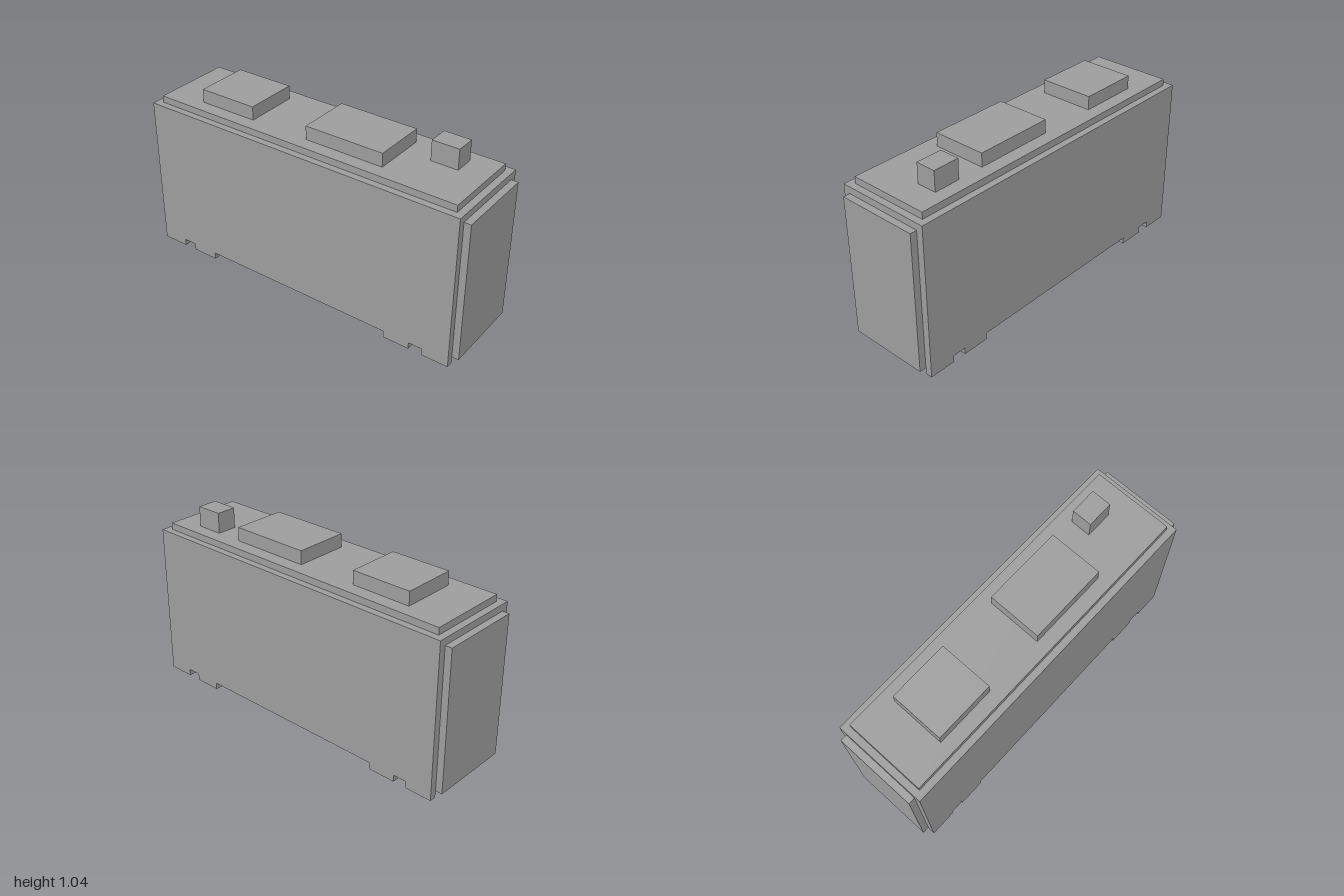
import * as THREE from 'three';

// The model sits on a grid of 52 units along its length.
const U = 2 / 52;

export function createModel() {
  const model = new THREE.Group();
  model.name = 'containerUnit';
  const material = new THREE.MeshStandardMaterial({ color: 0x9d9d9d, flatShading: true });

  // Box between two corners given in grid units.
  function block(name, [x0, x1], [y0, y1], [z0, z1]) {
    const geometry = new THREE.BoxGeometry((x1 - x0) * U, (y1 - y0) * U, (z1 - z0) * U);
    const mesh = new THREE.Mesh(geometry, material);
    mesh.name = name;
    mesh.position.set((x0 + x1) / 2 * U, (y0 + y1) / 2 * U, (z0 + z1) / 2 * U);
    model.add(mesh);
  }

  // Main body and raised roof panel
  block('body', [-25, 25], [1, 23], [-7, 7]);
  block('roofPanel', [-24, 24], [23, 24], [-6, 6]);

  // End panels
  block('leftEndPanel', [25, 26], [1, 22], [-6, 6]);
  block('rightEndPanel', [-26, -25], [1, 22], [-6, 6]);

  // Rooftop units
  block('smallRoofUnit', [-18, -9], [24, 26], [-4, 4]);
  block('largeRoofUnit', [0, 12], [24, 26], [-4, 4]);
  block('chimney', [16, 20], [24, 27], [-4, -1]);

  // Pairs of feet under each corner
  for (const z of [[6, 7], [-7, -6]]) {
    for (const [a, b] of [[15, 19], [21, 25]]) {
      block('foot', [a, b], [0, 1], z);
      block('foot', [-b, -a], [0, 1], z);
    }
  }
  return model;
}
